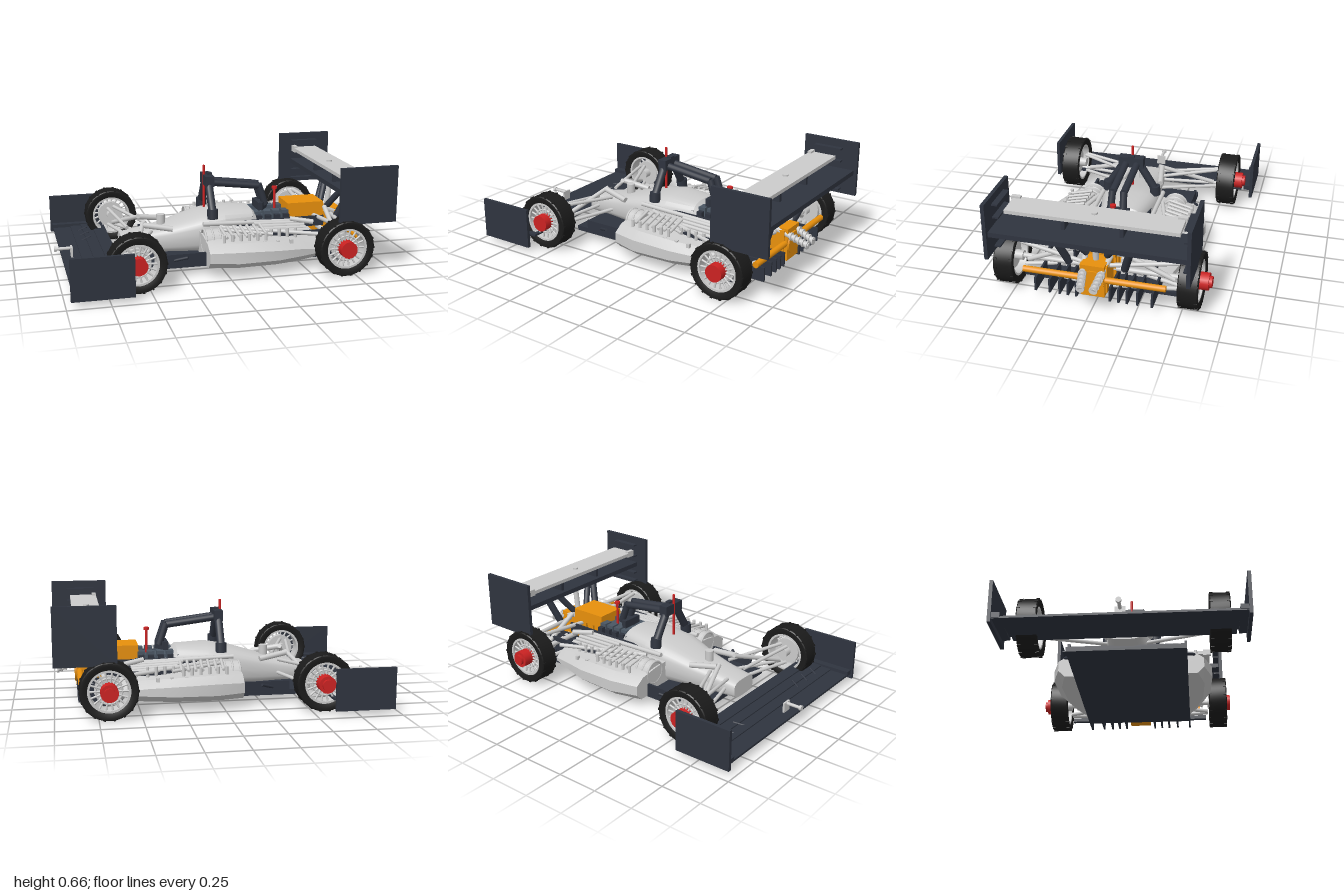
import * as THREE from 'three';
import { toCreasedNormals } from 'three/addons/utils/BufferGeometryUtils.js';

const mat = (color) => new THREE.MeshStandardMaterial({ color });
const grey = mat(0xcccccc), dark = mat(0x2f343f), black = mat(0x1b1b1b);
const red = mat(0xcc2222), orange = mat(0xe8900c), steel = mat(0x4a5663);
const V = (p) => new THREE.Vector3(...p);
const SIDES = [1, -1];

export function createModel() {
  const model = new THREE.Group();

  const add = (name, geo, m, pos = [0, 0, 0], parent = model) => {
    const mesh = new THREE.Mesh(geo, m);
    mesh.name = name;
    mesh.position.set(...pos);
    parent.add(mesh);
    return mesh;
  };
  // box given by its limits on each axis
  const box = (name, x, y, z, m, parent) => add(name,
    new THREE.BoxGeometry(x[1] - x[0], y[1] - y[0], z[1] - z[0]), m,
    [(x[0] + x[1]) / 2, (y[0] + y[1]) / 2, (z[0] + z[1]) / 2], parent);
  // cylinder between two points
  const rod = (name, a, b, r, m = grey, parent = model) => {
    const p = V(a), q = V(b), d = q.clone().sub(p);
    const mesh = add(name, new THREE.CylinderGeometry(r, r, d.length(), 14), m,
      p.clone().add(q).multiplyScalar(0.5).toArray(), parent);
    mesh.quaternion.setFromUnitVectors(new THREE.Vector3(0, 1, 0), d.normalize());
    return mesh;
  };
  // skin over rings of [z, y] points, each at its own x
  const loft = (xs, rings) => {
    const n = rings[0].length, pos = [], idx = [];
    rings.forEach((ring, i) => ring.forEach(([z, y]) => pos.push(xs[i], y, z)));
    for (let i = 0; i < rings.length - 1; i++)
      for (let j = 0; j < n; j++) {
        const a = i * n + j, b = i * n + (j + 1) % n;
        idx.push(a, a + n, b, b, a + n, b + n);
      }
    const last = (rings.length - 1) * n;
    for (let j = 1; j < n - 1; j++) idx.push(0, j, j + 1, last, last + j + 1, last + j);
    const g = new THREE.BufferGeometry();
    g.setAttribute('position', new THREE.Float32BufferAttribute(pos, 3));
    g.setIndex(idx);
    return toCreasedNormals(g, 0.45);
  };

  // floor and diffuser
  box('floor', [-0.5, 0.72], [0.055, 0.085], [-0.35, 0.35], dark);
  for (const s of [-0.345, -0.26, -0.2, -0.15, -0.1, 0.1, 0.15, 0.2, 0.26, 0.345])
    box('diffuserStrake', [0.66, 0.86], [0.058, 0.145], [s - 0.006, s + 0.006], dark);
  box('diffuserBar', [0.69, 0.72], [0.06, 0.085], [-0.46, 0.46], dark);

  // monocoque: rounded sections [x, half width, bottom, top]
  const hull = [[-0.59, 0.1, 0.08, 0.19], [-0.42, 0.115, 0.075, 0.22], [-0.3, 0.135, 0.07, 0.245],
    [-0.1, 0.18, 0.065, 0.305], [0.05, 0.18, 0.065, 0.33], [0.24, 0.14, 0.065, 0.322], [0.3, 0.12, 0.065, 0.26], [0.52, 0.1, 0.065, 0.2]];
  const pw = (v, e) => Math.sign(v) * Math.abs(v) ** e;
  add('monocoque', loft(hull.map((h) => h[0]), hull.map(([, w, b, t]) =>
    Array.from({ length: 24 }, (_, i) => {
      const a = (i / 24) * Math.PI * 2;
      return [w * pw(Math.cos(a), 0.6), (b + t) / 2 + ((t - b) / 2) * pw(Math.sin(a), 0.6)];
    }))), grey);
  rod('noseCap', [-0.33, 0.22, 0], [-0.33, 0.3, 0], 0.027);
  rod('noseProbe', [-1, 0.12, 0], [-0.89, 0.12, 0], 0.01);
  rod('probeTip', [-1, 0.12, 0], [-0.985, 0.12, 0], 0.016);
  box('probeMount', [-0.9, -0.888], [0.06, 0.13], [-0.03, 0.03], grey);

  // front wing: overlapping stepped planes
  [[-0.955, -0.83, 0.69], [-0.84, -0.76, 0.68], [-0.77, -0.69, 0.66], [-0.7, -0.62, 0.63]].forEach(([a, b, z], i) =>
    box('frontWingFlap', [a, b], [0.055 + i * 0.007, 0.068 + i * 0.007], [-z, z], dark));

  // roll hoop top, antennas
  box('rollHoopTop', [-0.055, 0], [0.475, 0.54], [-0.08, 0.08], dark);
  box('rollHoopCap', [-0.03, 0], [0.53, 0.55], [-0.02, 0.02], dark);
  rod('antenna', [-0.05, 0.33, 0], [-0.05, 0.6, 0], 0.008, red);
  rod('rearAntenna', [0.42, 0.26, 0], [0.42, 0.42, 0], 0.008, red);
  rod('rearAntennaTop', [0.42, 0.42, 0], [0.42, 0.435, 0], 0.018, red);
  // pointed foot behind the cockpit
  const foot = new THREE.Shape([[0.29, -0.07], [0.32, -0.07], [0.37, 0], [0.32, 0.07], [0.29, 0.07]].map((p) => new THREE.Vector2(...p)));
  add('hoopFoot', new THREE.ExtrudeGeometry(foot, { depth: 0.05, bevelEnabled: false }), dark, [0, 0.35, 0]).rotation.x = Math.PI / 2;

  // engine blocks
  for (let i = 0; i < 5; i++) {
    const x = 0.2 + i * 0.06;
    for (const s of SIDES) {
      box('engineBlock', [x, x + 0.045], [0.12, 0.3], [s * 0.07 - 0.03, s * 0.07 + 0.03], steel);
      box('engineHead', [x + 0.005, x + 0.04], [0.2, 0.28], [s * 0.115 - 0.015, s * 0.115 + 0.015], dark);
    }
  }
  box('engineCore', [0.2, 0.5], [0.12, 0.275], [-0.075, 0.075], steel);

  // gearbox and axle
  box('gearboxTop', [0.48, 0.72], [0.26, 0.34], [-0.095, 0.095], orange);
  box('gearboxBody', [0.5, 0.84], [0.1, 0.27], [-0.08, 0.08], orange);
  box('gearboxRear', [0.78, 0.86], [0.08, 0.28], [-0.07, 0.07], orange);
  rod('differential', [0.8, 0.18, 0], [0.87, 0.18, 0], 0.07, orange);
  rod('rearBeam', [0.84, 0.185, -0.42], [0.84, 0.185, 0.42], 0.019, orange);
  for (let i = 0; i < 4; i++) box('gearboxRib', [0.5 + i * 0.06, 0.525 + i * 0.06], [0.12, 0.26], [-0.095, 0.095], orange);

  // rear wing planes
  box('rearWingMain', [0.72, 0.98], [0.455, 0.485], [-0.56, 0.56], dark);
  box('rearWingUpper', [0.71, 0.88], [0.558, 0.58], [-0.5, 0.5], grey);
  rod('wingCap', [0.79, 0.58, 0], [0.79, 0.59, 0], 0.018);
  rod('centreWingPost', [0.78, 0.27, 0], [0.8, 0.46, 0], 0.018);

  // sidepod sections: [x, outer z, top y, bottom outer z]
  const pod = [[-0.12, 0.45, 0.2, 0.41], [0.05, 0.5, 0.21, 0.45], [0.3, 0.49, 0.2, 0.44], [0.46, 0.445, 0.185, 0.4], [0.61, 0.395, 0.16, 0.34]];
  const podGeo = loft(pod.map((p) => p[0]), pod.map(([, z, y, b]) =>
    [[0.1, 0.06], [b, 0.06], [z, 0.1], [z, y - 0.04], [z - 0.06, y], [0.27, y + 0.02], [0.1, y + 0.03]]));

  for (const s of SIDES) {
    const side = new THREE.Group();
    side.name = s > 0 ? 'sideParts' : 'oppositeSideParts';
    side.scale.z = s;
    model.add(side);
    const b = (name, x, y, z, m) => box(name, x, y, z, m, side);
    const r = (name, p, q, rad, m = grey) => rod(name, p, q, rad, m, side);

    add('sidepod', podGeo, grey, [0, 0, 0], side);
    // ribbed intake
    r('intake', [-0.11, 0.19, 0.275], [-0.02, 0.19, 0.275], 0.072);
    for (let i = 0; i < 3; i++)
      add('intakeRing', new THREE.TorusGeometry(0.07, 0.007, 8, 24), grey, [-0.115 + i * 0.045, 0.19, 0.275], side).rotation.y = Math.PI / 2;

    // pipework on the sidepod
    r('longPipe', [-0.1, 0.27, 0.19], [0.5, 0.25, 0.185], 0.014);
    r('diagonalPipe', [0, 0.25, 0.21], [0.58, 0.215, 0.385], 0.013);
    r('diagonalPipe', [-0.01, 0.245, 0.25], [0.3, 0.225, 0.35], 0.011);
    for (let i = 0; i < 4; i++)
      r('rearPipe', [0.22 + i * 0.02, 0.255 - i * 0.008, 0.21 + i * 0.03], [0.54, 0.245 - i * 0.008, 0.21 + i * 0.03], 0.012);
    for (let i = 0; i < 7; i++) {
      const x = -0.01 + i * 0.042;
      r('crossPipe', [x, 0.265, 0.26], [x + 0.008, 0.235, 0.4], 0.009);
    }
    for (let i = 0; i < 10; i++) {
      const x = -0.02 + i * 0.052, z = i < 6 ? 0.4 : 0.34;
      r('pipeStud', [x, 0.17, z], [x, 0.255, z], 0.01);
    }
    for (let i = 0; i < 4; i++) b('podTab', [0.13 + i * 0.085, 0.15 + i * 0.085], [0.18, 0.205], [0.41, 0.43], grey);

    // side boards and winglets
    b('frontBoard', [-0.42, -0.12], [0.08, 0.14], [0.335, 0.35], dark);
    b('rearBoard', [0.3, 0.7], [0.2, 0.225], [0.32, 0.335], dark);
    b('innerBoard', [0.1, 0.7], [0.2, 0.265], [0.15, 0.162], dark);
    r('winglet', [-0.32, 0.1, 0.34], [-0.24, 0.13, 0.39], 0.009, dark);

    // front wing end plate and foot
    b('frontEndPlate', [-0.97, -0.61], [0.03, 0.28], [0.685, 0.705], dark);
    b('frontPlateFoot', [-0.96, -0.66], [0.06, 0.09], [0.64, 0.69], dark);
    for (let i = 0; i < 3; i++) r('frontVane', [-0.8, 0.07, 0.3 + i * 0.11], [-0.74, 0.085, 0.33 + i * 0.11], 0.007, dark);

    // rear wing end plate, louvres, pylons
    b('rearEndPlate', [0.64, 1], [0.32, 0.665], [0.561, 0.583], dark);
    for (const y of [0.35, 0.41, 0.535, 0.615]) b('plateLouvre', [0.72, 0.9], [y - 0.005, y + 0.005], [0.525, 0.565], dark);
    b('wingEndBlock', [0.71, 0.735], [0.55, 0.592], [0.455, 0.51], grey);
    b('wingPost', [0.75, 0.85], [0.48, 0.555], [0.157, 0.179], dark);
    r('wingPylon', [0.77, 0.23, 0.165], [0.86, 0.46, 0.235], 0.023, dark);
    r('wingPylon', [0.76, 0.3, 0.06], [0.84, 0.46, 0.17], 0.02, dark);

    // roll hoop leg and arm
    r('hoopFootPad', [-0.03, 0.29, 0.155], [-0.03, 0.35, 0.15], 0.034, dark);
    r('hoopLeg', [-0.03, 0.33, 0.15], [-0.03, 0.5, 0.045], 0.025, dark);
    r('hoopArm', [-0.02, 0.495, 0.035], [0.3, 0.455, 0.035], 0.022, dark);
    r('hoopArmDrop', [0.3, 0.465, 0.035], [0.345, 0.33, 0.04], 0.022, dark);

    // exhaust with coil rings
    r('exhaust', [0.74, 0.285, 0.075], [0.975, 0.195, 0.037], 0.017);
    for (let i = 0; i < 5; i++) {
      const x = 0.87 + i * 0.024, y = 0.235 - i * 0.0094, z = 0.054 - i * 0.004;
      r('exhaustRing', [x, y, z], [x + 0.01, y, z], 0.025);
    }

    // suspension: [inner point, outer point, radius]
    [[[-0.53, 0.2, 0.09], [-0.6, 0.23, 0.47], 0.011], [[-0.52, 0.14, 0.09], [-0.6, 0.12, 0.47], 0.011],
      [[-0.41, 0.22, 0.1], [-0.56, 0.24, 0.47], 0.011], [[-0.4, 0.14, 0.11], [-0.56, 0.12, 0.47], 0.011],
      [[-0.46, 0.27, 0.08], [-0.57, 0.14, 0.44], 0.014],
      [[-0.46, 0.265, 0.1], [-0.28, 0.235, 0.13], 0.018],
      [[0.66, 0.25, 0.08], [0.68, 0.28, 0.47], 0.013], [[0.6, 0.13, 0.1], [0.68, 0.11, 0.47], 0.013],
      [[0.78, 0.25, 0.08], [0.71, 0.28, 0.47], 0.013], [[0.8, 0.13, 0.08], [0.71, 0.11, 0.47], 0.013],
      [[0.72, 0.31, 0.12], [0.7, 0.16, 0.44], 0.015], [[0.69, 0.175, 0.08], [0.69, 0.175, 0.5], 0.016],
      [[0.46, 0.27, 0.2], [0.6, 0.25, 0.24], 0.016]].forEach(([p, q, rad]) => r('suspensionArm', p, q, rad));

    // wheels
    for (const [name, x] of [['frontWheel', -0.575], ['rearWheel', 0.69]]) {
      const w = new THREE.Group();
      w.name = name;
      w.position.set(x, 0.174, 0.542);
      side.add(w);
      const ring = (part, pts, m) => add(part, toCreasedNormals(
        new THREE.LatheGeometry(pts.map((p) => new THREE.Vector2(...p)), 48), 0.6), m, [0, 0, 0], w).rotation.x = Math.PI / 2;
      ring('tyre', [[0.125, -0.052], [0.15, -0.06], [0.164, -0.059], [0.169, -0.053], [0.169, 0.053], [0.164, 0.059], [0.15, 0.06], [0.125, 0.052], [0.125, -0.052]], black);
      ring('rim', [[0.112, -0.05], [0.127, -0.05], [0.127, 0.05], [0.112, 0.05], [0.108, 0], [0.112, -0.05]], grey);
      for (let i = 0; i < 18; i++) {
        const a = (i / 18) * Math.PI * 2, c = Math.cos(a), n = Math.sin(a);
        rod('spoke', [0.035 * c, 0.035 * n, 0.03], [0.115 * c, 0.115 * n, 0.035], 0.006, grey, w);
        for (const e of SIDES) add('treadBlock', new THREE.BoxGeometry(0.012, 0.006, 0.02), black,
          [0.169 * c, 0.169 * n, e * 0.048], w).rotation.z = a + Math.PI / 2;
      }
      add('brakeRing', new THREE.TorusGeometry(0.075, 0.006, 8, 32), grey, [0, 0, 0.032], w);
      rod('brakeDisc', [0, 0, -0.02], [0, 0, 0], 0.085, grey, w);
      rod('hub', [0, 0, -0.07], [0, 0, 0.04], 0.03, grey, w);
      rod('hubCap', [0, 0, 0.02], [0, 0, s > 0 ? 0.085 : 0.098], 0.052, red, w);
      if (s < 0) rod('hubNut', [0, 0, 0.09], [0, 0, 0.115], 0.034, red, w);
    }
  }
  return model;
}
